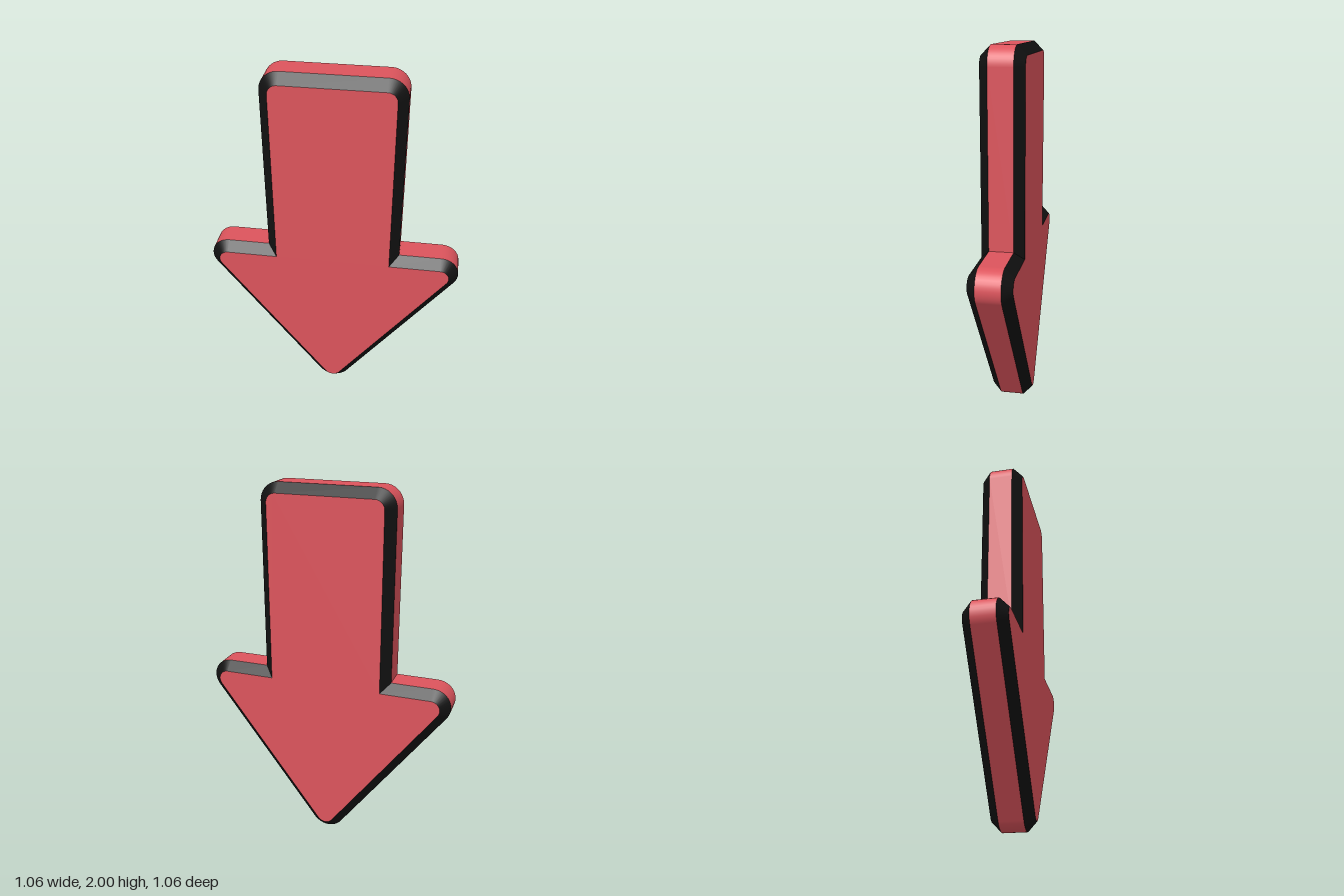
import * as THREE from 'three';

const red = new THREE.MeshStandardMaterial({ color: 0xdc545c });
red.name = 'red';
const black = new THREE.MeshStandardMaterial({ color: 0x111111 });
black.name = 'black';

const RADIUS = 0.1;      // corner rounding
const INSET = 0.05;      // bevel width
const RIM = 0.064;       // half thickness of the red rim
const HALF = 0.113;      // half thickness at the faces
const SLOPE = Math.atan(0.586 / 0.785);

// Counter-clockwise arrow outline, moved inward by d; each point carries its normal
function outline(d) {
  const points = [];
  const add = (x, y, angle, r) => {
    const nx = Math.cos(angle), ny = Math.sin(angle);
    points.push({ x: x + r * nx, y: y + r * ny, nx, ny });
  };
  const arc = (x, y, from, to, steps = 12) => {
    for (let i = 0; i <= steps; i++) add(x, y, from + (to - from) * i / steps, RADIUS - d);
  };
  const notch = (side, from, to) => {
    for (const angle of [from, to]) add(side * (0.36 - d), 0.985 - d, angle, 0);
  };
  const q = Math.PI / 2;
  arc(0.586, 0.885, -SLOPE, q);
  notch(1, q, 0);
  arc(0.26, 1.9, 0, q);
  arc(-0.26, 1.9, q, 2 * q);
  notch(-1, 2 * q, q);
  arc(-0.586, 0.885, q, 2 * q + SLOPE);
  arc(0, RADIUS, 2 * q + SLOPE, 4 * q - SLOPE);
  return points;
}

// Strip joining two outlines at different depths
function band(name, material, insetA, zA, insetB, zB) {
  const a = outline(insetA), b = outline(insetB), n = a.length;
  const positions = [], normals = [], index = [];
  const length = Math.hypot(zB - zA, insetB - insetA);
  const out = (zB - zA) / length, forward = (insetB - insetA) / length;
  for (let i = 0; i < n; i++) {
    positions.push(a[i].x, a[i].y, zA, b[i].x, b[i].y, zB);
    for (let k = 0; k < 2; k++) normals.push(a[i].nx * out, a[i].ny * out, forward);
    const j = (i + 1) % n;
    index.push(2 * i, 2 * j, 2 * j + 1, 2 * i, 2 * j + 1, 2 * i + 1);
  }
  const geometry = new THREE.BufferGeometry();
  geometry.setAttribute('position', new THREE.Float32BufferAttribute(positions, 3));
  geometry.setAttribute('normal', new THREE.Float32BufferAttribute(normals, 3));
  geometry.setIndex(index);
  const mesh = new THREE.Mesh(geometry, material);
  mesh.name = name;
  return mesh;
}

export function createModel() {
  const model = new THREE.Group();
  model.name = 'downArrow';

  // Red rim with a black bevel on either side
  model.add(
    band('rim', red, 0, -RIM, 0, RIM),
    band('frontBevel', black, 0, RIM, INSET, HALF),
    band('backBevel', black, INSET, -HALF, 0, -RIM),
  );

  // Flat red faces
  const points = outline(INSET)
    .map(p => new THREE.Vector2(p.x, p.y))
    .filter((p, i, all) => i === 0 || p.distanceTo(all[i - 1]) > 1e-6);
  const faceGeometry = new THREE.ShapeGeometry(new THREE.Shape(points));
  for (const [name, z, turn] of [['frontFace', HALF, 0], ['backFace', -HALF, Math.PI]]) {
    const face = new THREE.Mesh(faceGeometry, red);
    face.name = name;
    face.position.z = z;
    face.rotation.y = turn;
    model.add(face);
  }

  // The arrow stands diagonally
  model.rotation.y = Math.PI / 4;
  return model;
}
